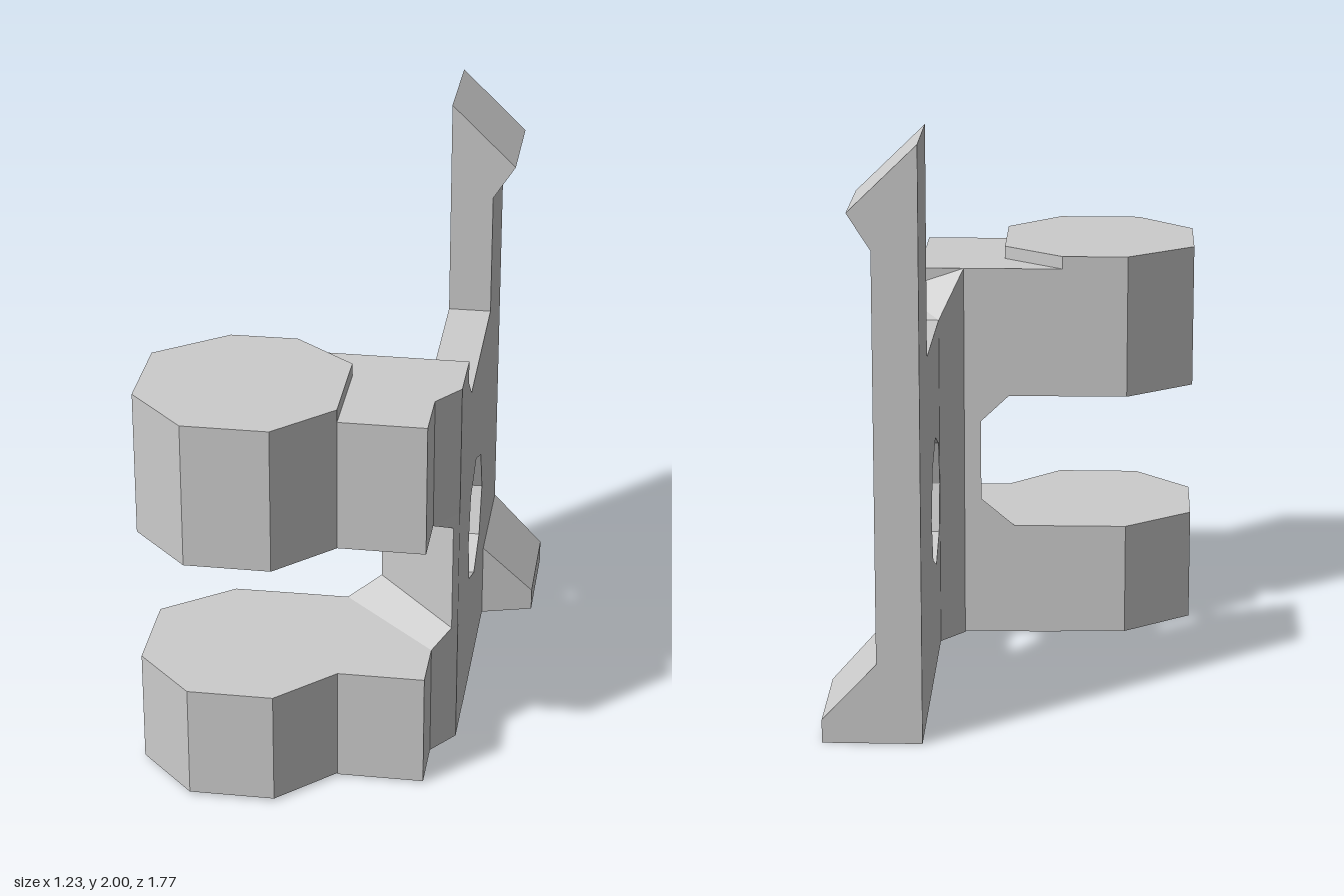
import * as THREE from 'three';

const material = new THREE.MeshStandardMaterial({ color: 0xcccccc, flatShading: true });

function addMesh(parent, name, geometry) {
  const mesh = new THREE.Mesh(geometry, material);
  mesh.name = name;
  parent.add(mesh);
}

// Vertical prism from a plan outline of [x, z] points
function planPrism(points, y0, y1) {
  const shape = new THREE.Shape(points.map(([x, z]) => new THREE.Vector2(x, -z)));
  const geometry = new THREE.ExtrudeGeometry(shape, { depth: y1 - y0, bevelEnabled: false });
  return geometry.rotateX(-Math.PI / 2).translate(0, y0, 0);
}

// Solid through rings of [x, y, z], each counter-clockwise seen from the last ring's end
function loft(rings) {
  const positions = [];
  const tri = (...corners) => corners.forEach((c) => positions.push(...c));
  const n = rings[0].length;
  for (let r = 0; r < rings.length - 1; r++) {
    const a = rings[r], b = rings[r + 1];
    for (let i = 0; i < n; i++) {
      const j = (i + 1) % n;
      tri(a[i], a[j], b[j]);
      tri(a[i], b[j], b[i]);
    }
  }
  const first = rings[0], last = rings[rings.length - 1];
  for (let i = 1; i < n - 1; i++) {
    tri(first[0], first[i + 1], first[i]);
    tri(last[0], last[i], last[i + 1]);
  }
  const geometry = new THREE.BufferGeometry();
  geometry.setAttribute('position', new THREE.Float32BufferAttribute(positions, 3));
  geometry.computeVertexNormals();
  return geometry;
}

export function createModel() {
  const model = new THREE.Group();
  model.name = 'hingeBracket';

  // Side plate with an octagonal hole, outlined in [z, y]
  const outline = [[0.09, 0], [-0.89, 0], [-0.89, 1.22], [-0.525, 1.22], [0.09, 1.195]];
  const plate = new THREE.Shape(outline.map(([z, y]) => new THREE.Vector2(-z, y)));
  const hole = [];
  for (let i = 0; i < 8; i++) {
    const a = (i * Math.PI) / 4;
    const z = Math.min(-0.125 + 0.23 * Math.cos(a), 0.087);
    hole.push(new THREE.Vector2(-z, 0.597 + 0.232 * Math.sin(a)));
  }
  plate.holes.push(new THREE.Path(hole));
  addMesh(model, 'sidePlate',
    new THREE.ExtrudeGeometry(plate, { depth: 0.15, bevelEnabled: false })
      .rotateY(Math.PI / 2).translate(0.283, 0, 0));

  // Tall post ending in a snap hook
  const post = [[0.283, 2], [0.283, 1.22], [0.433, 1.22], [0.433, 1.66], [0.51, 1.78]];
  addMesh(model, 'hookPost', loft([-0.89, -0.525].map((z) => post.map(([x, y]) => [x, y, z]))));

  // Sloping foot at the lower back corner, with a slanted front end
  const foot = [[0.433, 0], [0.615, 0], [0.615, 0.08], [0.433, 0.275]];
  addMesh(model, 'foot', loft([
    foot.map(([x, y]) => [x, y, -0.89]),
    foot.map(([x, y]) => [x, y, x > 0.5 ? -0.515 : -0.465]),
  ]));

  // Flare joining the plate to the hinge, with a sloping top
  const flare = [[0.283, 0.09, 1.195], [0.2, 0.19, 1.36], [0.433, 0.19, 1.28], [0.433, 0.09, 1.195]];
  addMesh(model, 'plateFlare', loft([
    flare.map(([x, z]) => [x, 0, z]),
    flare.map(([x, z, top]) => [x, top, z]),
  ]));

  // Two hinge arms, each with an octagonal knuckle
  const arm = [[-0.15, 0.19], [0.433, 0.19], [0.433, 0.4], [0.355, 0.505],
    [0.355, 0.7], [0.06, 0.7], [0.06, 0.355]];
  const knuckle = [[-0.38, 0.192], [-0.15, 0.19], [0.06, 0.355], [0.06, 0.7],
    [-0.13, 0.885], [-0.42, 0.885], [-0.617, 0.685], [-0.617, 0.37]];
  addMesh(model, 'lowerArm', planPrism(arm, 0.005, 0.41));
  addMesh(model, 'lowerKnuckle', planPrism(knuckle, 0.01, 0.41));
  addMesh(model, 'upperArm', planPrism(arm, 0.895, 1.36));
  addMesh(model, 'upperKnuckle', planPrism(knuckle, 0.895, 1.405));

  // Neck between the arms, flared at both ends:
  // [back x, front x, front z, back y, front y]
  const neck = [
    [0.02, 0.355, 0.505, 0.41, 0.41],
    [0.14, 0.415, 0.43, 0.51, 0.46],
    [0.14, 0.415, 0.43, 0.8, 0.85],
    [0.04, 0.355, 0.505, 0.895, 0.895],
  ];
  addMesh(model, 'neck', loft(neck.map(([bx, fx, fz, by, fy]) =>
    [[bx, by, 0.19], [fx, fy, fz], [0.433, fy, 0.4], [0.433, by, 0.19]])));

  return model;
}
